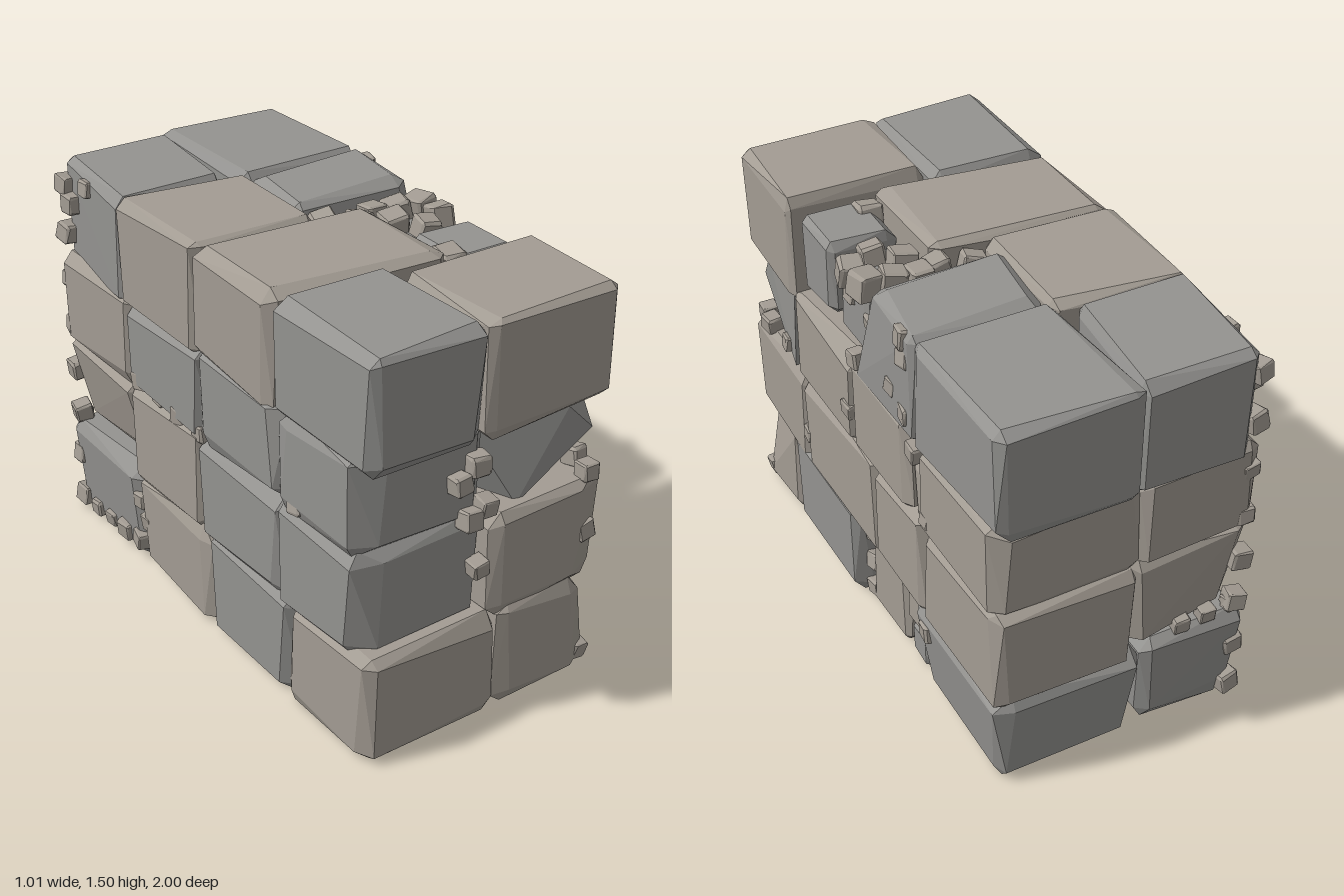
import * as THREE from 'three';
import { ConvexGeometry } from 'three/addons/geometries/ConvexGeometry.js';

const material = (color) => new THREE.MeshStandardMaterial({ color, flatShading: true, roughness: 1 });
const tones = { b: material(0xa39c93), g: material(0x949390) };

// small seeded generator
let seed = 7;
const rnd = () => (seed = (seed * 16807) % 2147483647) / 2147483647;

const hull = (points) => new ConvexGeometry(points.map((p) => new THREE.Vector3(...p)));

function addMesh(parent, name, geometry, tone) {
  const mesh = new THREE.Mesh(geometry, tones[tone]);
  mesh.name = name;
  parent.add(mesh);
  return mesh;
}

// hewn block: every corner of a box is cut back unevenly; an optional warp moves the points
function hewnBlock(min, max, bevel, warp = (p) => p) {
  const pts = [];
  for (let corner = 0; corner < 8; corner++) {
    const high = [0, 1, 2].map((i) => (corner >> i) & 1);
    const cut = high.map((h) => (h ? -1 : 1) * bevel * (0.35 + 0.9 * rnd()));
    for (let keep = 0; keep < 3; keep++) {
      pts.push(warp(high.map((h, i) =>
        (h ? max : min)[i] + (i === keep ? 0 : cut[i] * (0.75 + 0.5 * rnd())))));
    }
  }
  return hull(pts);
}

// chipped and slanted blocks, by course and place
const slantFrontLeft = ([x, y, z]) => [x < -0.3 && z > 0.915 ? x + 0.06 : x, y, z];
const slantFrontRight = ([x, y, z]) => [x > 0.3 && z > 0.97 ? x - 0.07 : x, y, z];
const narrowFoot = (cx, cz) => ([x, y, z]) =>
  (y < 0.1 ? [cx + (x - cx) * 0.88, y, cz + (z - cz) * 0.9] : [x, y, z]);
const warps = {
  course1right1: slantFrontRight,
  course1right4: narrowFoot(0.2, -0.7),
  course1left4: narrowFoot(-0.28, -0.72),
  course2left1: slantFrontLeft,
  course2right1: slantFrontRight,
  course2left4: ([x, y, z]) => (y < 0.55 && x < -0.3 ? [x + 0.06, y + 0.05, z + 0.03] : [x, y, z]),
  course3left1: slantFrontLeft,
  course3right3: ([x, y, z]) => [x, y, y > 0.95 && z < -0.2 ? z + 0.03 : z],
  course4left2: ([x, y, z]) => [x, y, z + 0.09 * (x + 0.16)],
  course4left3: ([x, y, z]) => [x, y, z + 0.1 * (x + 0.25)],
  course4left4: ([x, y, z]) => [x < -0.3 && z < -0.7 ? x + 0.05 : x > -0.2 && z > -0.7 ? x - 0.05 : x, y, z],
  course4right3: ([x, y, z]) => (y > 1.35 && z > -0.2 ? [x - 0.02, y, z - 0.09] : [x, y, z]),
};

// courses from the ground up: z of the joints from front to back on both sides,
// x of the seam between the sides; a tone of "-" leaves a gap
const courses = [
  { y: [0, 0.41], bevel: 0.05, seams: [0.05, 0, 0.03, -0.08],
    left: [1, 0.55, 0.05, -0.45, -0.97], leftTones: 'bgbg',
    right: [1, 0.65, 0.12, -0.38, -0.985], rightTones: 'bg-g' },
  { y: [0.375, 0.78], bevel: 0.045, seams: [0.01, 0, 0.03, -0.03],
    left: [0.93, 0.5, 0, -0.48, -0.95], leftTones: 'ggbb',
    right: [0.99, 0.52, -0.09, -0.45, -0.985], rightTones: 'bbbb' },
  { y: [0.755, 1.13], bevel: 0.05, seams: [0.01, 0, 0, -0.05, -0.05],
    left: [0.93, 0.5, 0.02, -0.47, -0.96], leftTones: 'gggb',
    right: [0.97, 0.56, 0.07, -0.37, -0.45, -0.96], rightTones: '-bb-b' },
  { y: [1.085, 1.5], bevel: 0.04, seams: [-0.05, 0.18, 0, -0.02],
    left: [1, 0.48, 0.02, -0.48, -0.97], leftTones: 'gbbg',
    right: [1, 0.56, 0.01, -0.42, -0.985], rightTones: 'b-gg' },
];

function buildCourse({ y, bevel, seams, ...sides }, name) {
  const course = new THREE.Group();
  course.name = name;
  for (const side of ['left', 'right']) {
    const joints = sides[side];
    [...sides[`${side}Tones`]].forEach((tone, i) => {
      if (tone === '-') return;
      const [x0, x1] = side === 'left' ? [-0.495, seams[i]] : [seams[i], 0.49];
      const place = `${side}${i + 1}`;
      const block = hewnBlock([x0, y[0], joints[i + 1] - 0.015], [x1, y[1], joints[i]], bevel, warps[name + place]);
      addMesh(course, `${place}Block`, block, tone);
    });
  }
  return course;
}

// small stones in the gaps: min corner, max corner, tone
const gapStones = [
  [[0.08, 0.02, -0.23], [0.44, 0.34, 0.06], 'b'],
  [[0.25, 0.17, -0.4], [0.44, 0.35, -0.23], 'b'],
  [[0.22, 0, -0.37], [0.43, 0.16, -0.24], 'g'],
  [[0.2, 0.75, -0.45], [0.46, 0.98, -0.36], 'b'],
  [[0.2, 1.17, 0.26], [0.46, 1.46, 0.51], 'g'],
  [[0.17, 1.13, 0.02], [0.43, 1.41, 0.25], 'g'],
];

// split wedge-shaped block in the front of the third course
const wedge = [
  [0, 1.05, 0.85], [0.03, 1.12, 0.8], [0.46, 1.1, 0.85], [0.44, 0.97, 0.96], [0.15, 0.76, 0.93],
  [0.33, 1.08, 0.96], [0.43, 0.78, 0.8], [0.48, 0.77, 0.6], [0.48, 1.11, 0.56], [0, 1.12, 0.55], [0, 0.77, 0.56],
];

// loose chips in short runs on one face: u, v of the first, u, v of the last, count
function scatter(wall, name, size, onFace, runs) {
  for (const [u0, v0, u1, v1, count] of runs) {
    for (let i = 0; i < count; i++) {
      const t = i / Math.max(1, count - 1);
      const s = size + 0.008 * rnd();
      const chip = addMesh(wall, name, hewnBlock([-s, -s, -s], [s, s, s], s * 0.25), 'b');
      chip.position.set(...onFace(u0 + (u1 - u0) * t, v0 + (v1 - v0) * t));
      chip.rotation.set(...[0, 1, 2].map(() => (rnd() - 0.5) * size * 14));
    }
  }
}

export function createModel() {
  const wall = new THREE.Group();
  wall.name = 'stoneWall';

  courses.forEach((course, i) => wall.add(buildCourse(course, `course${i + 1}`)));
  for (const [min, max, tone] of gapStones) addMesh(wall, 'gapStone', hewnBlock(min, max, 0.03), tone);
  addMesh(wall, 'wedgeBlock', hull(wedge), 'g');

  // chips over the joints and ledges
  scatter(wall, 'frontChip', 0.03, (x, y) => [x, y, 0.95], [
    [-0.11, 0.94, -0.04, 0.99, 2], [-0.06, 0.79, 0, 0.82, 2], [-0.02, 0.59, -0.02, 0.59, 1],
    [0.44, 0.8, 0.44, 0.57, 2], [0.46, 0.06, 0.46, 0.06, 1],
  ]);
  scatter(wall, 'backChip', 0.025, (x, y) => [x, y, -0.95], [[-0.24, 0.43, -0.45, 0.43, 3]]);
  scatter(wall, 'rightChip', 0.028, (z, y) => [0.465, y, z], [
    [0.86, 0.81, 0.67, 0.83, 2], [0.51, 0.51, 0.51, 0.51, 1], [0.11, 0.89, 0.04, 1.14, 2],
    [-0.26, 1.22, -0.36, 1.17, 2], [-0.36, 1.39, -0.35, 1.46, 2], [-0.41, 1.05, -0.49, 0.82, 2],
    [-0.48, 0.31, -0.48, 0.31, 1],
  ]);
  scatter(wall, 'gapChip', 0.028, (z, y) => [0.41, y, z], [[0.08, 0.05, 0.08, 0.31, 3], [0.16, 1.32, 0.02, 1.28, 2]]);
  scatter(wall, 'topChip', 0.04, (x, z) => [x, 1.43, z], [
    [0.06, -0.03, 0.17, 0.02, 2], [0.25, -0.01, 0.43, 0.03, 3], [0.26, 0.1, 0.44, 0.13, 2],
    [0.33, 0.19, 0.23, 0.44, 2], [-0.43, -0.05, -0.31, -0.02, 2],
  ]);
  scatter(wall, 'leftChip', 0.03, (z, y) => [-0.46, y, z], [
    [-0.95, 1.4, -0.95, 0.06, 8], [-0.9, 1.34, -0.77, 1.44, 2], [-0.48, 0.27, -0.42, 0.2, 2],
    [-0.84, 0.05, -0.5, 0.08, 4], [-0.43, 0.81, -0.02, 0.78, 4], [0.58, 0.9, 0.58, 0.8, 2],
  ]);
  return wall;
}
